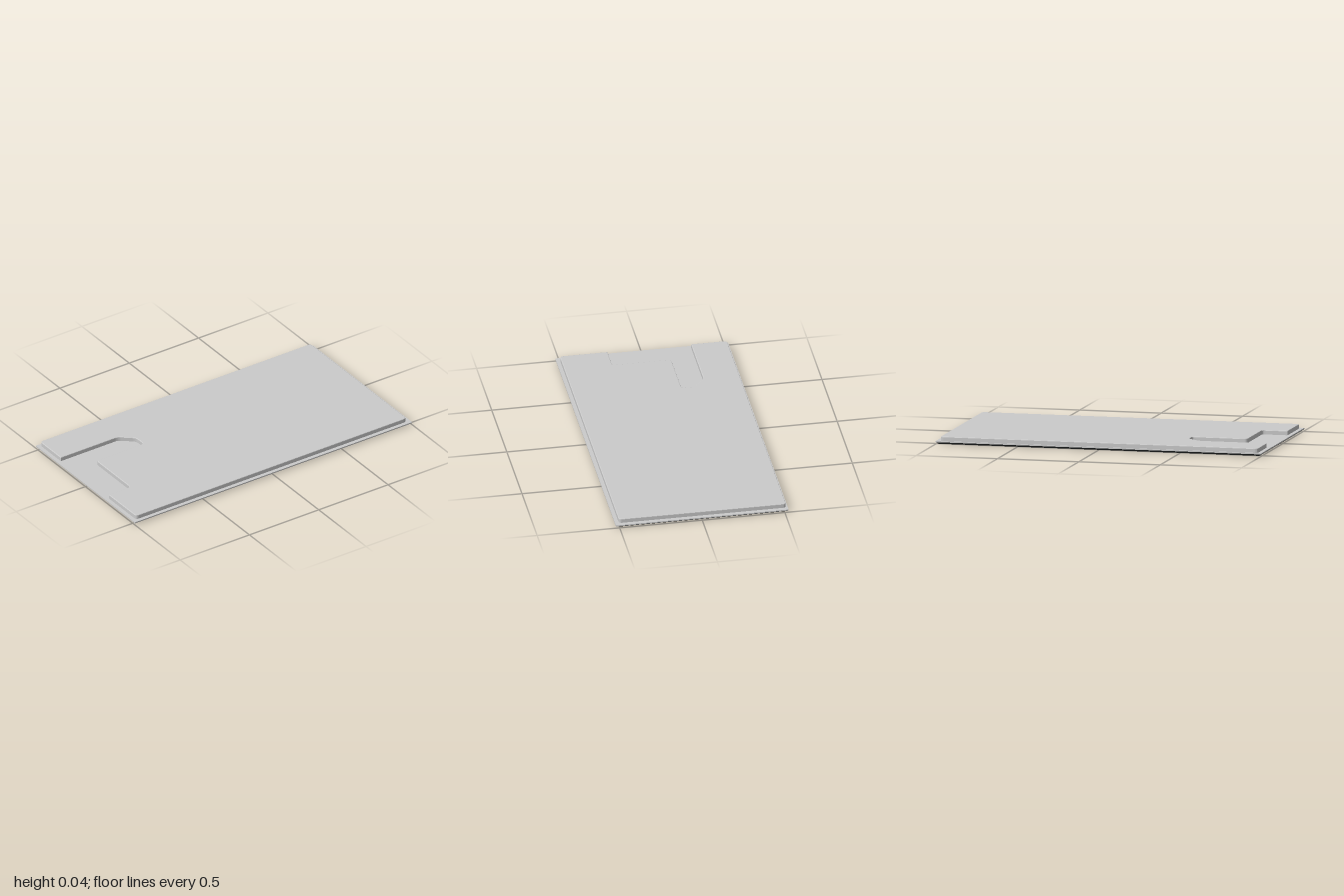
import * as THREE from 'three';

const grey = new THREE.MeshStandardMaterial({ color: 0xcccccc });
const black = new THREE.MeshStandardMaterial({ color: 0x303333 });

function add(group, name, geometry, material, y) {
  const mesh = new THREE.Mesh(geometry, material);
  mesh.name = name;
  mesh.position.y = y;
  group.add(mesh);
}

// Closed outline with a small arc of radius r at every corner flagged 1
function roundedOutline(points, r) {
  const shape = new THREE.Shape();
  const n = points.length;
  points.forEach(([x, y, round], i) => {
    const p = new THREE.Vector2(x, y);
    const towards = (q) => new THREE.Vector2(q[0], q[1]).sub(p).setLength(round ? r : 0).add(p);
    const a = towards(points[(i + n - 1) % n]);
    const b = towards(points[(i + 1) % n]);
    if (i === 0) shape.moveTo(a.x, a.y);
    else shape.lineTo(a.x, a.y);
    if (round) shape.quadraticCurveTo(p.x, p.y, b.x, b.y);
  });
  shape.closePath();
  return shape;
}

// Mitred rectangular frame joining loops of [half width, half depth, y]
function rectangularFrame(loops) {
  const corners = [[1, 1], [1, -1], [-1, -1], [-1, 1]];
  const positions = [];
  const at = (loop, k) => [corners[k % 4][0] * loop[0], loop[2], corners[k % 4][1] * loop[1]];
  for (let i = 0; i < loops.length - 1; i++) {
    for (let k = 0; k < 4; k++) {
      const a = at(loops[i], k), b = at(loops[i + 1], k);
      const c = at(loops[i + 1], k + 1), d = at(loops[i], k + 1);
      positions.push(...a, ...b, ...c, ...a, ...c, ...d);
    }
  }
  const geometry = new THREE.BufferGeometry();
  geometry.setAttribute('position', new THREE.Float32BufferAttribute(positions, 3));
  geometry.computeVertexNormals();
  return geometry;
}

export function createModel() {
  const model = new THREE.Group();
  model.name = 'coverPanel';

  // Raised plate with the stepped cut-out in its right side (shape y = -z)
  const bevel = 0.004;
  const outline = roundedOutline([
    [-0.976, -0.5, 1], [0.974, -0.5, 1], [0.974, 0.512, 1], [-0.976, 0.512, 1],
    [-0.976, 0.295, 0], [-0.565, 0.295, 1], [-0.48, 0.222, 1], [-0.48, 0.145, 1],
    [-0.82, 0.145, 1], [-0.82, -0.212, 1], [-0.976, -0.212, 0],
  ], 0.02);
  const plate = new THREE.ExtrudeGeometry(outline, {
    depth: 0.028, bevelEnabled: true, bevelThickness: bevel,
    bevelSize: bevel, bevelOffset: -bevel, bevelSegments: 2, curveSegments: 5,
  });
  plate.rotateX(-Math.PI / 2);
  add(model, 'raisedPlate', plate, grey, 0.0125);

  // Thin flange all round
  add(model, 'flange', new THREE.BoxGeometry(2, 0.007, 1.046), grey, 0.0145);

  // Tapered dark seal under the flange
  const seal = rectangularFrame([
    [1, 0.523, 0.011], [0.985, 0.508, 0], [0.915, 0.445, 0], [0.915, 0.445, 0.011],
  ]);
  add(model, 'seal', seal, black, 0);

  // Underside panel framed by the seal
  add(model, 'undersidePanel', new THREE.BoxGeometry(1.83, 0.008, 0.89), grey, 0.007);

  return model;
}
